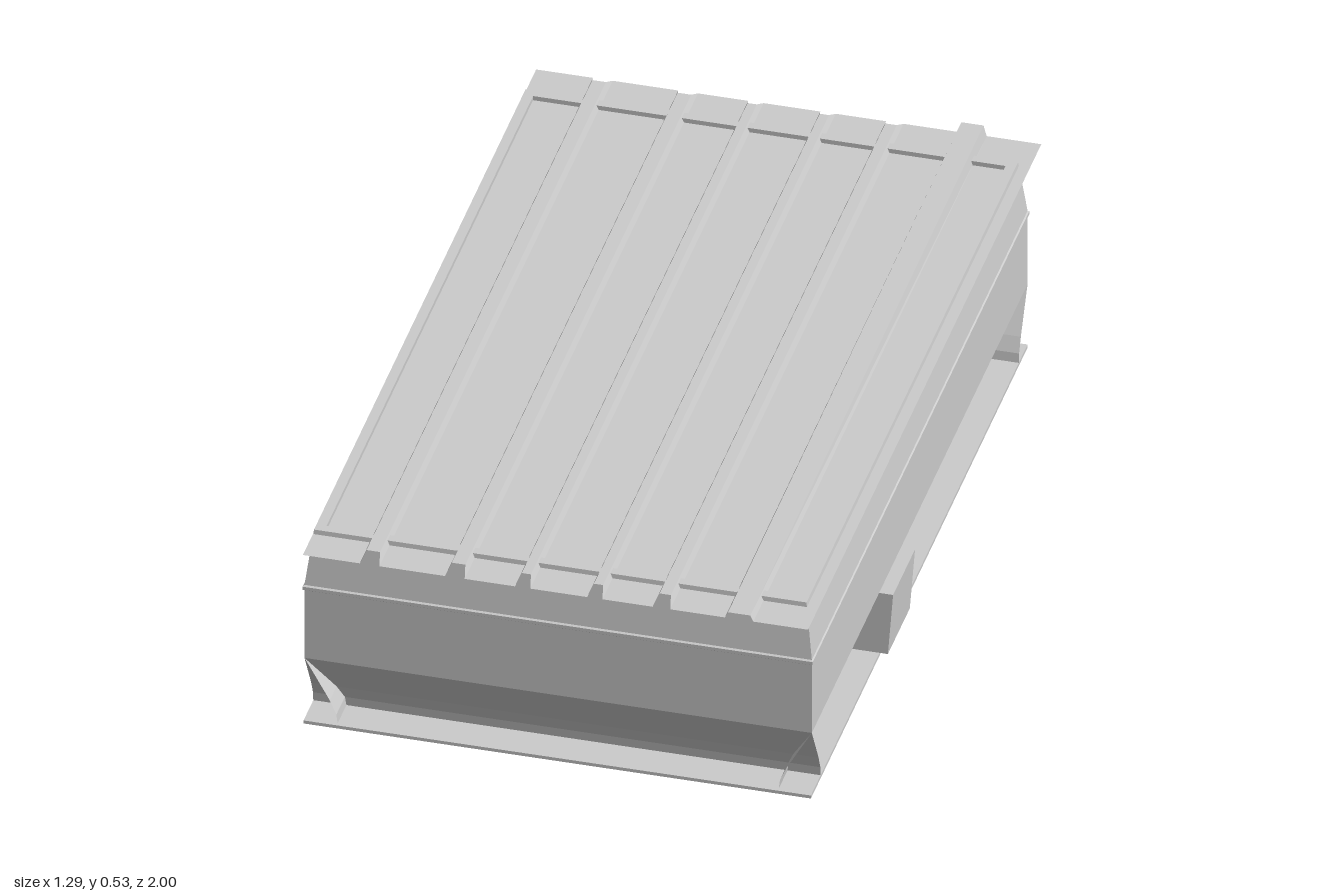
import * as THREE from 'three';

const material = new THREE.MeshStandardMaterial({
  color: 0xcccccc, flatShading: true, side: THREE.DoubleSide,
});

// Surface stretched through a list of equally long cross-sections
function loft(name, sections, closed = false) {
  const n = sections[0].length, index = [];
  const count = closed ? n : n - 1;
  for (let i = 0; i < sections.length - 1; i++) {
    for (let j = 0; j < count; j++) {
      const a = i * n + j, b = i * n + (j + 1) % n;
      index.push(a, b, b + n, a, b + n, a + n);
    }
  }
  const geo = new THREE.BufferGeometry();
  geo.setAttribute('position', new THREE.Float32BufferAttribute(sections.flat(2), 3));
  geo.setIndex(index);
  const flat = geo.toNonIndexed();
  flat.computeVertexNormals();
  const mesh = new THREE.Mesh(flat, material);
  mesh.name = name;
  return mesh;
}

function box(name, x0, x1, y0, y1, z0, z1) {
  const mesh = new THREE.Mesh(new THREE.BoxGeometry(x1 - x0, y1 - y0, z1 - z0), material);
  mesh.position.set((x0 + x1) / 2, (y0 + y1) / 2, (z0 + z1) / 2);
  mesh.name = name;
  return mesh;
}

const X0 = -0.55, X1 = 0.61, Z0 = -0.92, Z1 = 0.93;

// Rectangle at height y, pulled in by dx and dz
const ring = (y, dx, dz) => [
  [X0 + dx, y, Z1 - dz], [X1 - dx, y, Z1 - dz],
  [X1 - dx, y, Z0 + dz], [X0 + dx, y, Z0 + dz],
];

export function createModel() {
  const model = new THREE.Group();

  // Upper walls: upright band, thin bead, tapered band and rim
  model.add(loft('walls', [
    ring(0.183, 0, 0), ring(0.363, 0, 0), ring(0.366, -0.003, -0.004),
    ring(0.374, -0.003, -0.004), ring(0.377, 0, 0), ring(0.515, 0.017, 0.018),
    ring(0.515, 0.04, 0.04), ring(0.49, 0.04, 0.04),
  ], true));

  // Lower skirt panels curve inward and cross each other at the corners
  const skirt = [[0, 0.183], [0.03, 0.13], [0.058, 0.08], [0.073, 0.045], [0.076, 0.02]];
  for (const s of [-1, 1]) {
    const x = s > 0 ? X1 : X0, z = s > 0 ? Z1 : Z0;
    model.add(loft('sideSkirt', skirt.map(([d, y]) => [[x - s * d, y, Z0], [x - s * d, y, Z1]])));
    model.add(loft('endSkirt', skirt.map(([d, y]) => [[X0, y, z - s * d], [X1, y, z - s * d]])));
  }

  // Base plate and the low runner under one edge
  model.add(box('basePlate', X0, X1, 0.014, 0.022, Z0, 0.938));
  model.add(box('runner', X0, -0.48, 0.002, 0.014, -0.48, 0.28));

  // Roof planks with raised, open-ended ribs between them
  const deck = 0.504;
  const ribs = [[-0.405, -0.36], [-0.21, -0.165], [-0.05, -0.015],
    [0.115, 0.15], [0.265, 0.305], [0.43, 0.495]];
  let left = -0.535;
  const plank = (a, b) => model.add(loft('roofPlank',
    [[[a, deck, 1], [b, deck, 1]], [[a, deck, -1], [b, deck, -1]]]));
  ribs.forEach(([a, b], i) => {
    plank(left, a);
    left = b;
    const thick = i === ribs.length - 1;
    const section = (z) => {
      const top = thick ? 0.525 - 0.006 * z : 0.52;
      const zt = thick ? z : z * 0.968;
      return [[a, deck, z], [a + 0.007, top, zt], [b - 0.007, top, zt], [b, deck, z]];
    };
    model.add(loft('roofRib', [section(1), section(-1)]));
  });
  plank(left, 0.62);

  // Side brackets: hoods open underneath, described by outer-edge points [x, y]
  function bracket(name, wall, outer, z0, z1) {
    const group = new THREE.Group();
    group.name = name;
    const edge = (z) => [[wall[0][0], wall[0][1], z], ...outer.map(([x, y]) => [x, y, z])];
    group.add(loft('hood', [edge(z1), edge(z0)]));
    for (const z of [z0, z1]) {
      group.add(loft('cheek', [
        outer.map(([x, y]) => [x, y, z]), wall.map(([x, y]) => [x, y, z]),
      ]));
    }
    model.add(group);
  }
  bracket('leftBracket', [[0.6, 0.183], [0.545, 0.08], [0.535, 0.024]],
    [[0.642, 0.183], [0.635, 0.09], [0.63, 0.024]], 0.165, 0.353);
  bracket('rightBracket', [[-0.54, 0.183], [-0.48, 0.05], [-0.48, 0]],
    [[-0.645, 0.183], [-0.598, 0.045], [-0.61, 0]], -0.603, -0.482);

  return model;
}
